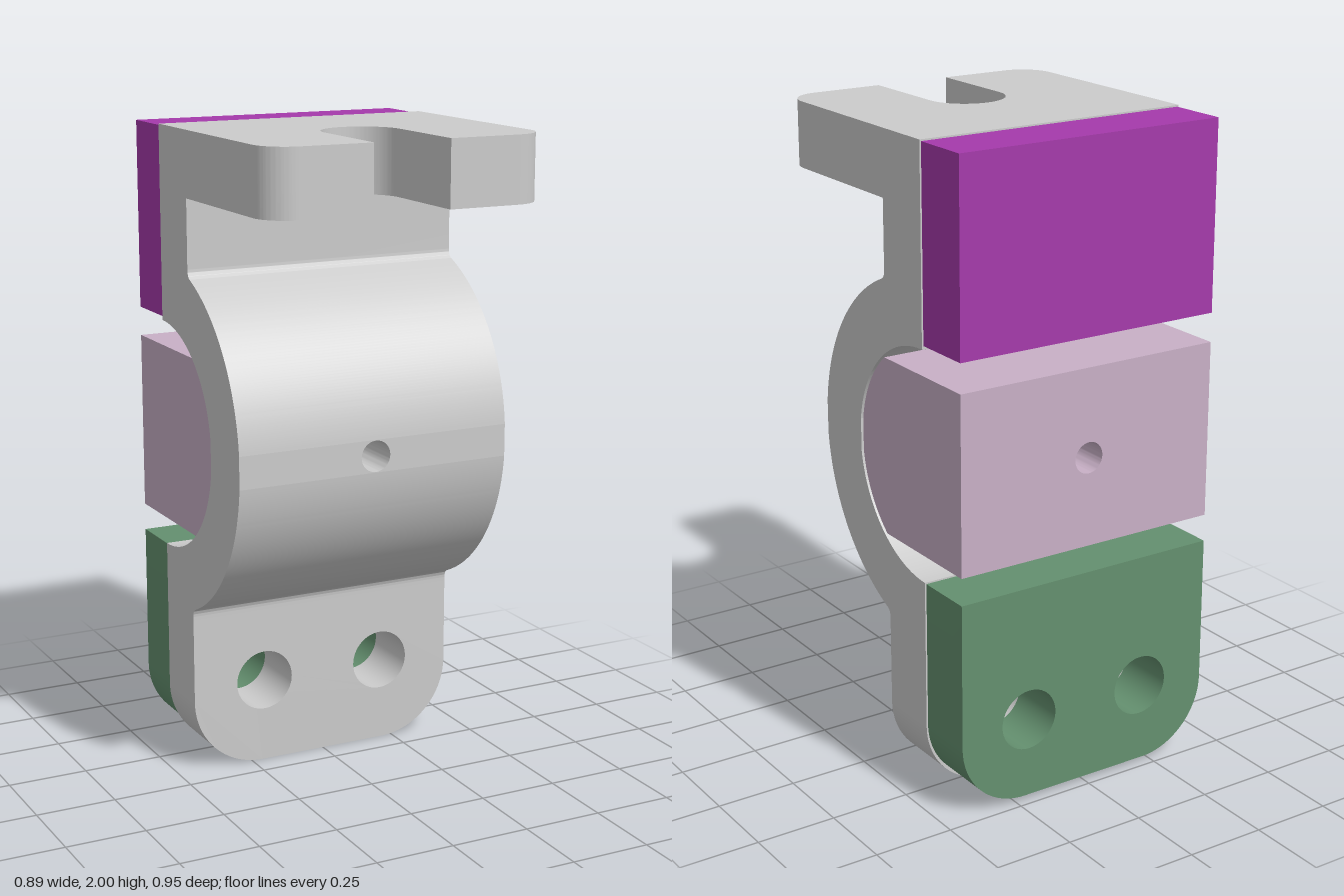
import * as THREE from 'three';
import { toCreasedNormals } from 'three/addons/utils/BufferGeometryUtils.js';

const CY = 1.05, CZ = -0.285;          // axis of the curved band
const R_OUT = 0.555, R_IN = 0.355, R_PAD = 0.35;
const HALF = 0.445, PAD_HALF = 0.44;   // half widths
const BACK = -0.475, STRIP = 0.05;     // pad back plane, half height of the drilled strip

const material = (color) => new THREE.MeshStandardMaterial({ color, side: THREE.DoubleSide });
const grey = material(0xcccccc);
const purple = material(0xa53aab);
const pink = material(0xc8b0c6);
const green = material(0x64906f);

function extrude(shape, depth) {
  return new THREE.ExtrudeGeometry(shape, { depth, bevelEnabled: false, curveSegments: 32 });
}

function addMesh(group, name, geometry, mat) {
  const mesh = new THREE.Mesh(toCreasedNormals(geometry, 0.5), mat);
  mesh.name = name;
  group.add(mesh);
}

// Front outline (x, y) extruded between two z planes
const alongZ = (shape, z0, z1) => extrude(shape, z1 - z0).translate(0, 0, z0);

// Side profile (z, y) extruded across the width
const alongX = (shape, half) => extrude(shape, 2 * half).translate(0, 0, -half).rotateY(-Math.PI / 2);

function drill(shape, x, y, r) {
  const hole = new THREE.Path();
  hole.absarc(x, y, r, 0, Math.PI * 2, true);
  shape.holes.push(hole);
}

// Rectangle with rounded lower corners
function plate(half, y0, y1, r) {
  const s = new THREE.Shape();
  s.moveTo(-half, y1);
  s.lineTo(-half, y0 + r);
  if (r > 0) s.absarc(-half + r, y0 + r, r, Math.PI, Math.PI * 1.5, false);
  s.lineTo(half - r, y0);
  if (r > 0) s.absarc(half - r, y0 + r, r, -Math.PI / 2, 0, false);
  s.lineTo(half, y1);
  s.closePath();
  return s;
}

// Upper (dir 1) or lower (dir -1) half of the curved band with its straight web
function bandProfile(dir, yEnd) {
  const s = new THREE.Shape();
  const cw = dir < 0;
  s.absarc(CZ, CY, R_OUT, dir * Math.asin(STRIP / R_OUT), dir * 1.17, cw);
  s.quadraticCurveTo(-0.085, CY + dir * 0.518, -0.085, CY + dir * 0.54);
  s.lineTo(-0.085, yEnd);
  s.lineTo(CZ, yEnd);
  s.lineTo(CZ, CY + dir * R_IN);
  s.absarc(CZ, CY, R_IN, dir * Math.PI / 2, dir * Math.asin(STRIP / R_IN), !cw);
  return s;
}

// Upper or lower half of the rounded-nose clamp pad
function padProfile(dir) {
  const h = 0.275;
  const s = new THREE.Shape();
  s.absarc(CZ, CY, R_PAD, dir * Math.asin(STRIP / R_PAD), dir * Math.asin(h / R_PAD), dir < 0);
  s.lineTo(BACK, CY + dir * h);
  s.lineTo(BACK, CY + dir * STRIP);
  return s;
}

// Flat strip around the small centre hole
function drilledStrip(half, z0, z1) {
  const s = plate(half, CY - STRIP, CY + STRIP, 0);
  drill(s, 0, CY, 0.048);
  return alongZ(s, z0, z1);
}

const noseZ = (r) => CZ + Math.sqrt(r * r - STRIP * STRIP);

// Forked shelf outline (x, z): round front corners and a round-ended slot
function shelfShape() {
  const s = new THREE.Shape();
  const r = 0.1, front = 0.475, slot = 0.122;
  s.moveTo(-HALF, CZ);
  s.lineTo(HALF, CZ);
  s.lineTo(HALF, front - r);
  s.absarc(HALF - r, front - r, r, 0, Math.PI / 2, false);
  s.lineTo(slot, front);
  s.absarc(0, 0.177, slot, 0, -Math.PI, true);
  s.lineTo(-slot, front);
  s.lineTo(-HALF + r, front);
  s.absarc(-HALF + r, front - r, r, Math.PI / 2, Math.PI, false);
  s.closePath();
  return s;
}

export function createModel() {
  const model = new THREE.Group();
  model.name = 'clampBracket';

  // Grey bracket
  const bracket = new THREE.Group();
  bracket.name = 'bracket';
  model.add(bracket);
  addMesh(bracket, 'forkedShelf', extrude(shelfShape(), 0.2).rotateX(Math.PI / 2).translate(0, 2, 0), grey);
  addMesh(bracket, 'upperBand', alongX(bandProfile(1, 1.8), HALF), grey);
  addMesh(bracket, 'lowerBand', alongX(bandProfile(-1, 0.5), HALF), grey);
  addMesh(bracket, 'bandCentre', drilledStrip(HALF, noseZ(R_IN), noseZ(R_OUT)), grey);

  // Lower flange and its backing pad share the two bolt holes
  const flange = plate(HALF, 0, 0.5, 0.23);
  const lowerPad = plate(PAD_HALF, 0.015, 0.69, 0.22);
  for (const shape of [flange, lowerPad]) {
    for (const side of [-1, 1]) drill(shape, side * 0.205, 0.265, 0.095);
  }
  addMesh(bracket, 'lowerFlange', alongZ(flange, CZ, -0.085), grey);
  addMesh(model, 'lowerPad', alongZ(lowerPad, BACK, CZ), green);

  // Plain upper pad
  addMesh(model, 'upperPad', alongZ(plate(PAD_HALF, 1.415, 1.995, 0), BACK, CZ), purple);

  // Clamp pad nested inside the band
  const clampPad = new THREE.Group();
  clampPad.name = 'clampPad';
  model.add(clampPad);
  addMesh(clampPad, 'clampPadTop', alongX(padProfile(1), PAD_HALF), pink);
  addMesh(clampPad, 'clampPadBottom', alongX(padProfile(-1), PAD_HALF), pink);
  addMesh(clampPad, 'clampPadCentre', drilledStrip(PAD_HALF, BACK, noseZ(R_PAD)), pink);

  return model;
}
